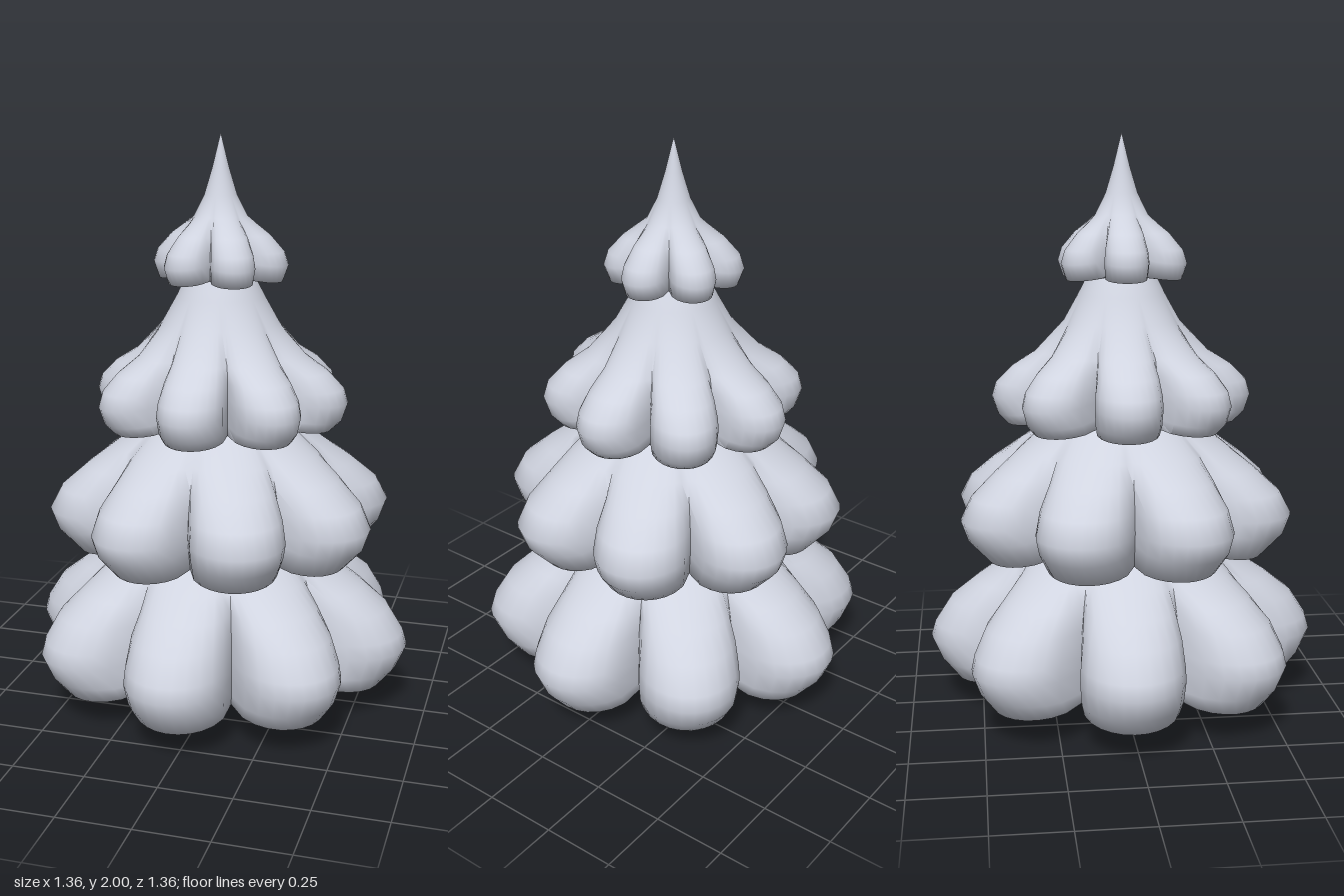
import * as THREE from 'three';
import { toCreasedNormals } from 'three/addons/utils/BufferGeometryUtils.js';

const snow = new THREE.MeshStandardMaterial({ color: 0xd0d4e0 });
snow.name = 'pale snow';
const bark = new THREE.MeshStandardMaterial({ color: 0x2b4a68 });
bark.name = 'dark blue bark';

// Scalloped shell. The profile holds [lobe radius, height] from the top down and then under the rim.
// Beyond the core radius, valleys grow outwards more slowly than lobes, by the given slope.
function tierGeometry({ lobes, turn, lift, core, slope, profile }) {
  const perLobe = 12, cols = lobes * perLobe;
  const positions = [], index = [];
  profile.forEach(([outer, y], i) => {
    const valley = Math.min(outer, core + (outer - core) * slope);
    const depth = Math.min(1, (outer - valley) / 0.08);
    const underside = i > profile.length / 2;
    for (let j = 0; j < cols; j++) {
      const phi = ((j % perLobe) / perLobe) * 2 - 1; // -1 and 1 are valleys
      const bulge = (1 - phi * phi) ** 0.7;
      const r = valley + (outer - valley) * bulge;
      const rise = underside ? lift * (1 - bulge) * depth : 0;
      const a = THREE.MathUtils.degToRad(turn) + ((j - perLobe / 2) / cols) * Math.PI * 2;
      positions.push(r * Math.sin(a), y + rise, r * Math.cos(a));
      if (i < profile.length - 1) {
        const k = (j + 1) % cols;
        const p = i * cols + j, q = p + cols, s = (i + 1) * cols + k, t = i * cols + k;
        index.push(p, q, s, p, s, t);
      }
    }
  });
  const geometry = new THREE.BufferGeometry();
  geometry.setAttribute('position', new THREE.Float32BufferAttribute(positions, 3));
  geometry.setIndex(index);
  // Enlarged while creasing so that close vertices stay distinct
  geometry.scale(100, 100, 100);
  return toCreasedNormals(geometry, 1.5).scale(0.01, 0.01, 0.01);
}

export function createModel() {
  const group = new THREE.Group();
  group.name = 'snowyTree';
  const add = (name, geometry, material) => {
    const mesh = new THREE.Mesh(geometry, material);
    mesh.name = name;
    group.add(mesh);
  };

  // Widest tier, hollow underneath
  add('bottomTier', tierGeometry({
    lobes: 8, turn: -2, lift: 0.03, core: 0.37, slope: 0.2,
    profile: [[0.26, 0.66], [0.34, 0.58], [0.42, 0.52], [0.52, 0.455], [0.61, 0.385], [0.665, 0.3],
      [0.68, 0.25], [0.645, 0.17], [0.59, 0.103], [0.5, 0.11], [0.4, 0.14], [0.36, 0.2],
      [0.33, 0.32], [0.27, 0.45], [0.03, 0.52]],
  }), snow);

  // Middle tiers, their lobes staggered
  add('lowerMiddleTier', tierGeometry({
    lobes: 8, turn: 22.5, lift: 0.03, core: 0.33, slope: 0.27,
    profile: [[0.2, 1.08], [0.26, 1.02], [0.37, 0.94], [0.47, 0.87], [0.56, 0.795], [0.6, 0.72],
      [0.575, 0.65], [0.5, 0.57], [0.4, 0.585], [0.25, 0.64]],
  }), snow);
  add('upperMiddleTier', tierGeometry({
    lobes: 8, turn: -2, lift: 0.02, core: 0.24, slope: 0.15,
    profile: [[0.08, 1.58], [0.12, 1.52], [0.15, 1.46], [0.2, 1.37], [0.3, 1.265], [0.38, 1.215],
      [0.435, 1.16], [0.45, 1.11], [0.43, 1.05], [0.395, 1.015], [0.3, 1.03], [0.18, 1.08]],
  }), snow);

  // Small tier drawn out into the pointed tip
  add('topTier', tierGeometry({
    lobes: 6, turn: 30, lift: 0.015, core: 0.1, slope: 0.25,
    profile: [[0.001, 2], [0.028, 1.89], [0.055, 1.8], [0.09, 1.73], [0.17, 1.67], [0.22, 1.615],
      [0.235, 1.57], [0.215, 1.515], [0.16, 1.518], [0.08, 1.55]],
  }), snow);

  // Flared six-sided trunk foot, and the snowy stem inside the hollow
  const foot = [[0, 0], [0.1, 0], [0.076, 0.05], [0.06, 0.1], [0.052, 0.16]];
  add('trunkFoot', new THREE.LatheGeometry(foot.map(([x, y]) => new THREE.Vector2(x, y)), 6), bark);
  const stem = new THREE.CylinderGeometry(0.035, 0.05, 0.36, 6, 1, true);
  stem.translate(0, 0.34, 0);
  add('trunkStem', stem, snow);
  return group;
}
